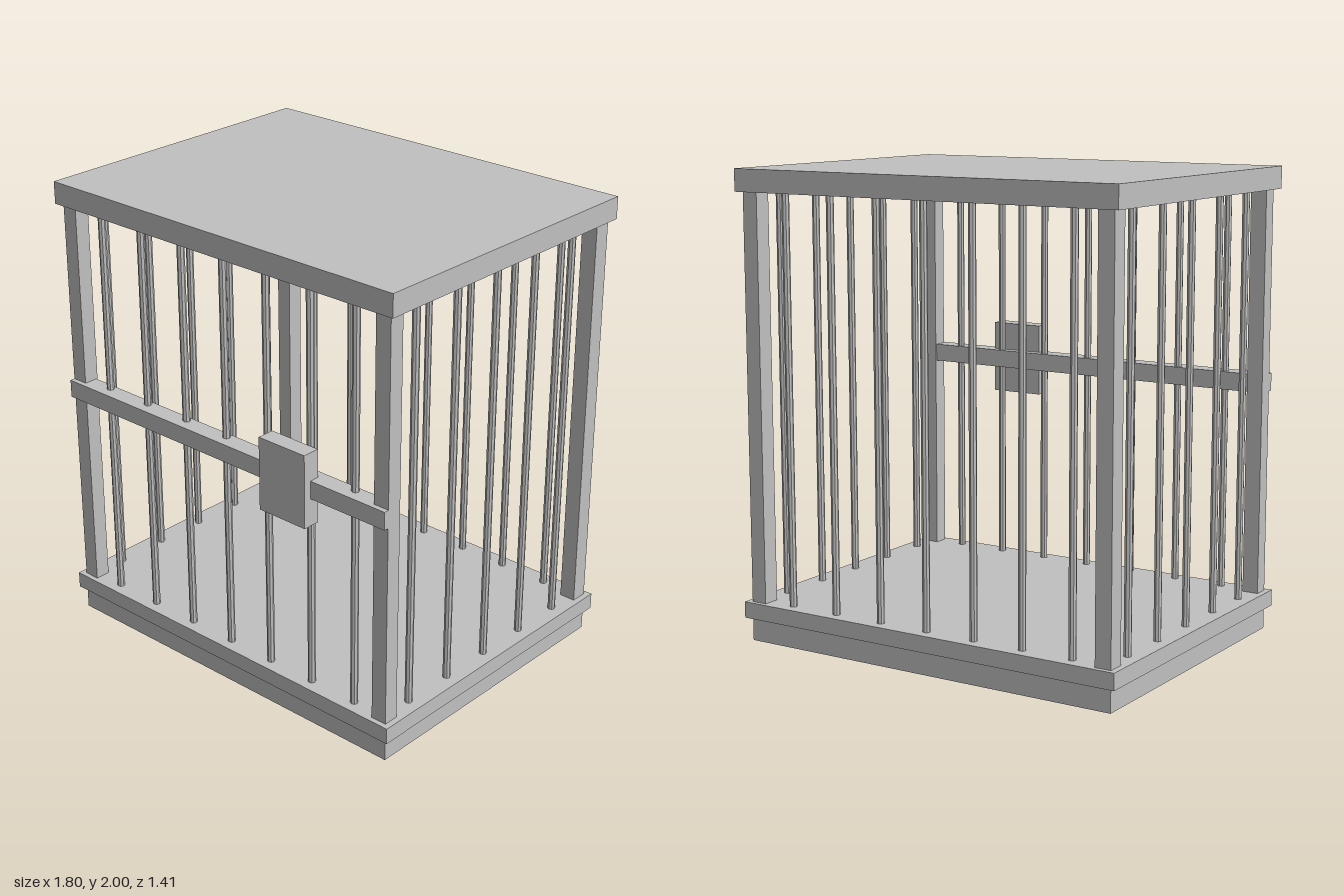
import * as THREE from 'three';

export function createModel() {
  const root = new THREE.Group();
  root.name = 'cage';
  const metal = new THREE.MeshStandardMaterial({ color: 0xc0c0c0, flatShading: true });
  metal.name = 'grey metal';

  // Box given by its minimum and maximum on each axis
  const box = (name, [x0, x1], [y0, y1], [z0, z1]) => {
    const mesh = new THREE.Mesh(new THREE.BoxGeometry(x1 - x0, y1 - y0, z1 - z0), metal);
    mesh.name = name;
    mesh.position.set((x0 + x1) / 2, (y0 + y1) / 2, (z0 + z1) / 2);
    root.add(mesh);
  };

  const floorY = 0.17, roofY = 1.905;

  // Plinth, floor slab and roof slab
  box('plinth', [-0.876, 0.876], [0, 0.1], [-0.685, 0.65]);
  box('floor', [-0.902, 0.902], [0.1, floorY], [-0.706, 0.672]);
  box('roof', [-0.902, 0.902], [roofY, 2], [-0.706, 0.672]);

  // Corner posts
  for (const side of [-1, 1]) {
    const xs = side < 0 ? [-0.876, -0.805] : [0.805, 0.876];
    box('frontPost', xs, [floorY, roofY], [0.583, 0.65]);
    box('backPost', xs, [floorY, roofY], [-0.685, -0.61]);
  }

  // Round bars along all four sides
  const barGeometry = new THREE.CylinderGeometry(0.016, 0.016, roofY - floorY, 8);
  const bar = (name, x, z) => {
    const mesh = new THREE.Mesh(barGeometry, metal);
    mesh.name = name;
    mesh.position.set(x, (floorY + roofY) / 2, z);
    root.add(mesh);
  };
  for (let i = -3; i <= 3; i++) {
    bar('frontBar', i * 0.228, 0.617);
    bar('backBar', i * 0.228, -0.648);
  }
  for (let i = -2; i <= 2; i++) {
    bar('leftBar', 0.84, -0.014 + i * 0.24);
    bar('rightBar', -0.84, -0.014 + i * 0.24);
  }

  // Cross rail and lock box on the front
  box('crossRail', [-0.876, 0.876], [1.045, 1.122], [0.59, 0.672]);
  box('lockBox', [0.265, 0.504], [0.927, 1.243], [0.63, 0.706]);

  return root;
}
